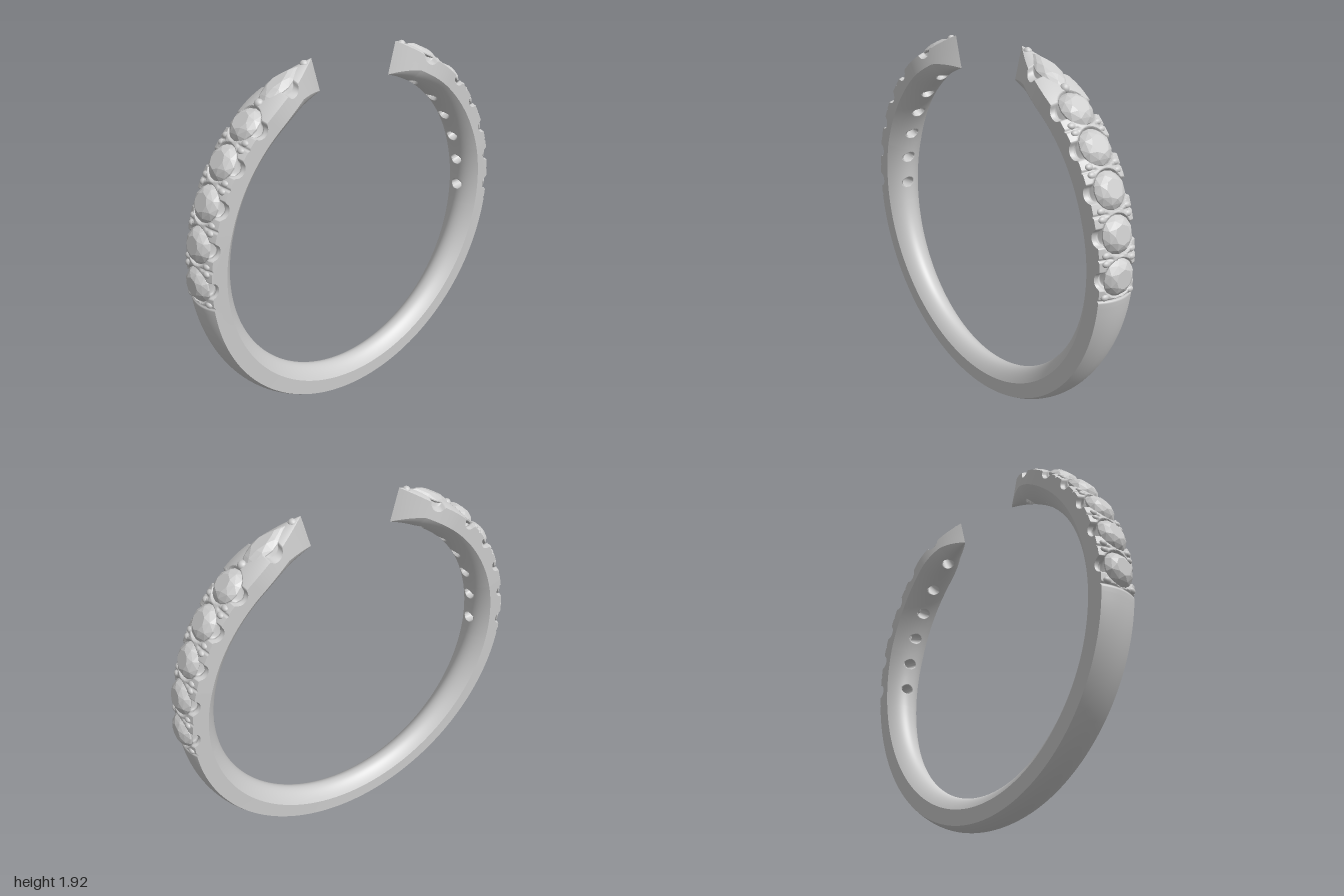
import * as THREE from 'three';
import { ConvexGeometry } from 'three/addons/geometries/ConvexGeometry.js';

const { degToRad, smoothstep, lerp } = THREE.MathUtils;
const CY = 0.98;                       // height of the ring's centre
const START = 16;                      // degrees from the top to each tip
const STONES = [0, 1, 2, 3, 4].map(i => 89 - 11.6 * i);
const PEAR = 28;
const GRIP = 94.5;                     // where the jewelled arc stops
const material = () => new THREE.MeshStandardMaterial({ color: 0xcccccc });

// Half width of the band at p degrees from the top
function halfWidth(p) {
  const y = CY + CY * Math.cos(degToRad(p));
  const w = Math.min(0.115, 0.08 + 0.0275 * y);
  const k = Math.min(1, (p - START) / 22);
  return w * k * (2 - k);
}

const along = (p, q) => degToRad(p - q) * 0.97;   // arc length between two angles

// Comfort-fit inside with a drilled hole behind each stone
function innerRadius(p, v) {
  const w = halfWidth(p);
  let r = 0.81 + 0.065 * v * v * Math.min(1, w / 0.08);
  for (const q of [...STONES, PEAR + 1]) {
    const d = Math.hypot(along(p, q), v * w);
    if (d < 0.04) r = lerp(0.93, r, smoothstep(d, 0.027, 0.035));
  }
  return r;
}

// Domed outside with stone seats, side notches and fine cuts
function outerRadius(p, v) {
  const w = halfWidth(p);
  let r = 0.98 - 0.025 * v * v * Math.min(1, w / 0.08);
  if (p > GRIP + 1) return r;
  for (const q of [...STONES, PEAR]) {
    const t = along(p, q);
    const d = Math.hypot(t, v * w);
    if (q !== PEAR && d < 0.095) r = lerp(Math.min(r, 0.95), r, smoothstep(d, 0.085, 0.092));
    if (Math.abs(v) > 0.6) r -= 0.85 * Math.sqrt(Math.max(0, 0.04 ** 2 - t * t));
  }
  for (const q of STONES) {
    const t = Math.abs(along(p, q + 5.8));
    if (Math.abs(v) > 0.4 || q === STONES[0]) r -= 0.008 * (1 - smoothstep(t, 0.002, 0.007));
  }
  return r;
}

// Angles round the ring, closer together along the jewelled arcs
const angles = [];
for (let i = 0; i < 300; i++) angles.push(START + (97 - START) * i / 300);
for (let i = 0; i < 80; i++) angles.push(97 + 166 * i / 80);
for (let i = 0; i <= 300; i++) angles.push(263 + (97 - START) * i / 300);

// A strip round the ring; fn(p, s) gives [radius, z] for s from 0 to 1
function strip(name, rows, flip, fn) {
  const pos = [], index = [];
  angles.forEach((a, i) => {
    const p = Math.min(a, 360 - a), rad = degToRad(a);
    for (let j = 0; j <= rows; j++) {
      const [r, z] = fn(p, j / rows);
      pos.push(Math.sin(rad) * r, CY + Math.cos(rad) * r, z);
      if (i < angles.length - 1 && j < rows) {
        const k = i * (rows + 1) + j, n = k + rows + 1;
        if (flip) index.push(k, k + 1, n, n, k + 1, n + 1);
        else index.push(k, n, k + 1, n, n + 1, k + 1);
      }
    }
  });
  const g = new THREE.BufferGeometry();
  g.setAttribute('position', new THREE.Float32BufferAttribute(pos, 3));
  g.setIndex(index);
  g.computeVertexNormals();
  const mesh = new THREE.Mesh(g, material());
  mesh.name = name;
  return mesh;
}

// Brilliant cut: table, crown, girdle and pavilion
function stonePoints() {
  const pts = [new THREE.Vector3(0, -0.06, 0)];
  const ring = (n, r, y, turn) => {
    for (let i = 0; i < n; i++) {
      const a = (i + turn) * 2 * Math.PI / n;
      pts.push(new THREE.Vector3(r * Math.cos(a), y, r * Math.sin(a)));
    }
  };
  ring(8, 0.046, 0.037, 0);
  ring(8, 0.071, 0.023, 0.5);
  ring(16, 0.087, 0.002, 0);
  ring(16, 0.087, -0.005, 0);
  return pts;
}

// Draws the round stone out into a teardrop pointing along +x
function pearPoint(v) {
  const c = v.x / (Math.hypot(v.x, v.z) || 1);
  const squeeze = Math.sqrt(Math.max(0, 1 - Math.max(0, c)));
  return new THREE.Vector3(v.x * 1.5, v.y * 0.75, v.z * 0.75 * squeeze);
}

export function createModel() {
  const ring = new THREE.Group();
  ring.name = 'openRing';

  // Band
  const band = new THREE.Group();
  band.name = 'band';
  const across = s => 2 * s - 1;
  band.add(strip('bandInside', 36, false, (p, s) => [innerRadius(p, across(s)), across(s) * halfWidth(p)]));
  band.add(strip('bandOutside', 36, true, (p, s) => [outerRadius(p, across(s)), across(s) * halfWidth(p)]));
  for (const side of [1, -1]) {
    band.add(strip(side > 0 ? 'bandFrontFace' : 'bandBackFace', 3, side < 0,
      (p, s) => [lerp(innerRadius(p, side), outerRadius(p, side), s), side * halfWidth(p)]));
  }
  ring.add(band);

  const roundStone = new ConvexGeometry(stonePoints());
  const pearStone = new ConvexGeometry(stonePoints().map(pearPoint));
  const bead = new THREE.SphereGeometry(1, 16, 10);

  for (const side of [1, -1]) {
    const setting = new THREE.Group();
    setting.name = side > 0 ? 'leftSetting' : 'rightSetting';

    // Puts a part on the band with its own y axis pointing outward
    const place = (name, geometry, p, r, z = 0) => {
      const mesh = new THREE.Mesh(geometry, material());
      const a = side * degToRad(p);
      mesh.name = name;
      mesh.position.set(Math.sin(a) * r, CY + Math.cos(a) * r, z);
      mesh.rotation.z = -a;
      setting.add(mesh);
      return mesh;
    };

    // Round stones, with beads in the gaps between them
    for (const p of STONES) {
      place('roundStone', roundStone, p, 0.962);
      for (const z of [-0.076, 0.076]) {
        for (const shift of [-1.1, 1.1]) {
          if (p === STONES[0] && shift > 0) continue;
          place('bead', bead, p + 5.8 + shift, 0.963, z).scale.set(0.016, 0.014, 0.022);
        }
      }
    }

    // Teardrop stone with a prong at each end
    const pear = place('pearStone', pearStone, PEAR, 0.966);
    if (side > 0) pear.geometry = pearStone.clone().rotateY(Math.PI);
    place('tipProng', bead, 18.8, 0.97).scale.setScalar(0.022);
    place('innerProng', bead, 36, 0.972).scale.setScalar(0.024);
    ring.add(setting);
  }
  return ring;
}
